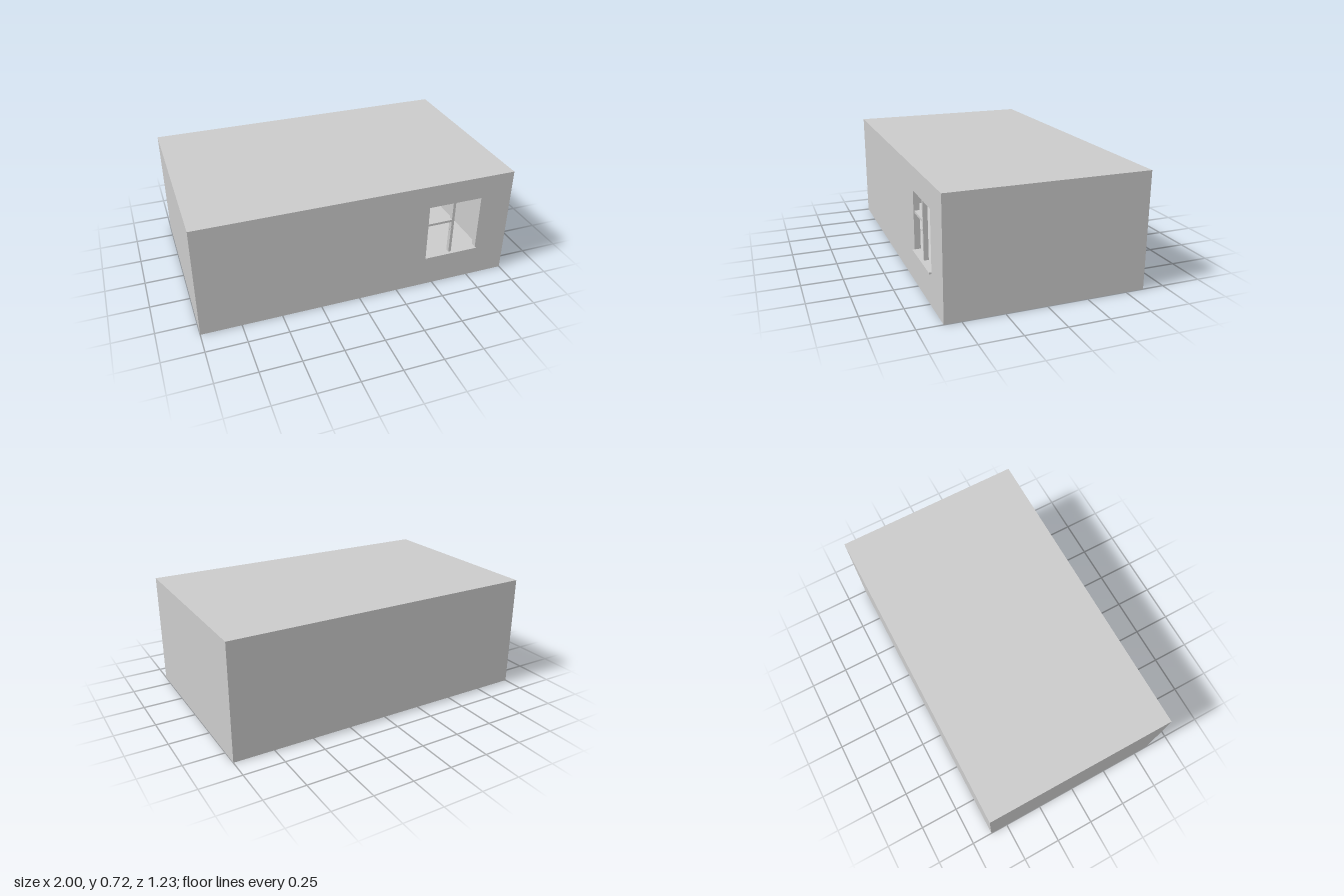
import * as THREE from 'three';

const grey = new THREE.MeshStandardMaterial({ color: 0xcccccc, flatShading: true });

// Box given by its low and high limits on each axis
function slab(name, [x0, x1], [y0, y1], [z0, z1]) {
  const mesh = new THREE.Mesh(new THREE.BoxGeometry(x1 - x0, y1 - y0, z1 - z0), grey);
  mesh.position.set((x0 + x1) / 2, (y0 + y1) / 2, (z0 + z1) / 2);
  mesh.name = name;
  return mesh;
}

export function createModel() {
  const room = new THREE.Group();
  room.name = 'room';
  const H = 0.72, back = -0.615, front = 0.6, inner = 0.563, t = 0.012;
  const win = { x0: 0.44, x1: 0.79, y0: 0.2, y1: 0.573 };

  // Hollow shell: floor, roof, back and side walls
  room.add(
    slab('floor', [-1, 1], [0, t / 2], [back, inner]),
    slab('roof', [-1, 1], [H - t / 2, H], [back, inner]),
    slab('backWall', [-1, 1], [t / 2, H - t / 2], [back, back + t]),
  );
  for (const [name, x] of [['rightWall', -1], ['leftWall', 1 - t]]) {
    room.add(slab(name, [x, x + t], [t / 2, H - t / 2], [back + t, inner]));
  }

  // Front wall with the window opening cut through it
  const wall = new THREE.Shape();
  wall.moveTo(-1, 0).lineTo(1, 0).lineTo(1, H).lineTo(-1, H).closePath();
  const hole = new THREE.Path();
  hole.moveTo(win.x0, win.y0).lineTo(win.x0, win.y1).lineTo(win.x1, win.y1).lineTo(win.x1, win.y0).closePath();
  wall.holes.push(hole);
  const frontWall = new THREE.Mesh(
    new THREE.ExtrudeGeometry(wall, { depth: front - inner, bevelEnabled: false }), grey);
  frontWall.position.z = inner;
  frontWall.name = 'frontWall';
  room.add(frontWall);

  // Window: projecting sill, mullion, transom and a small handle
  const window = new THREE.Group();
  window.name = 'window';
  const bars = [0.566, 0.594];
  window.add(
    slab('sill', [win.x0, win.x1], [win.y0, 0.21], [0.545, 0.615]),
    slab('mullion', [0.603, 0.62], [0.21, win.y1], bars),
    slab('transom', [win.x0, 0.603], [0.435, 0.45], bars),
    slab('handle', [0.585, 0.606], [0.386, 0.391], [0.594, 0.599]),
  );
  room.add(window);
  return room;
}
